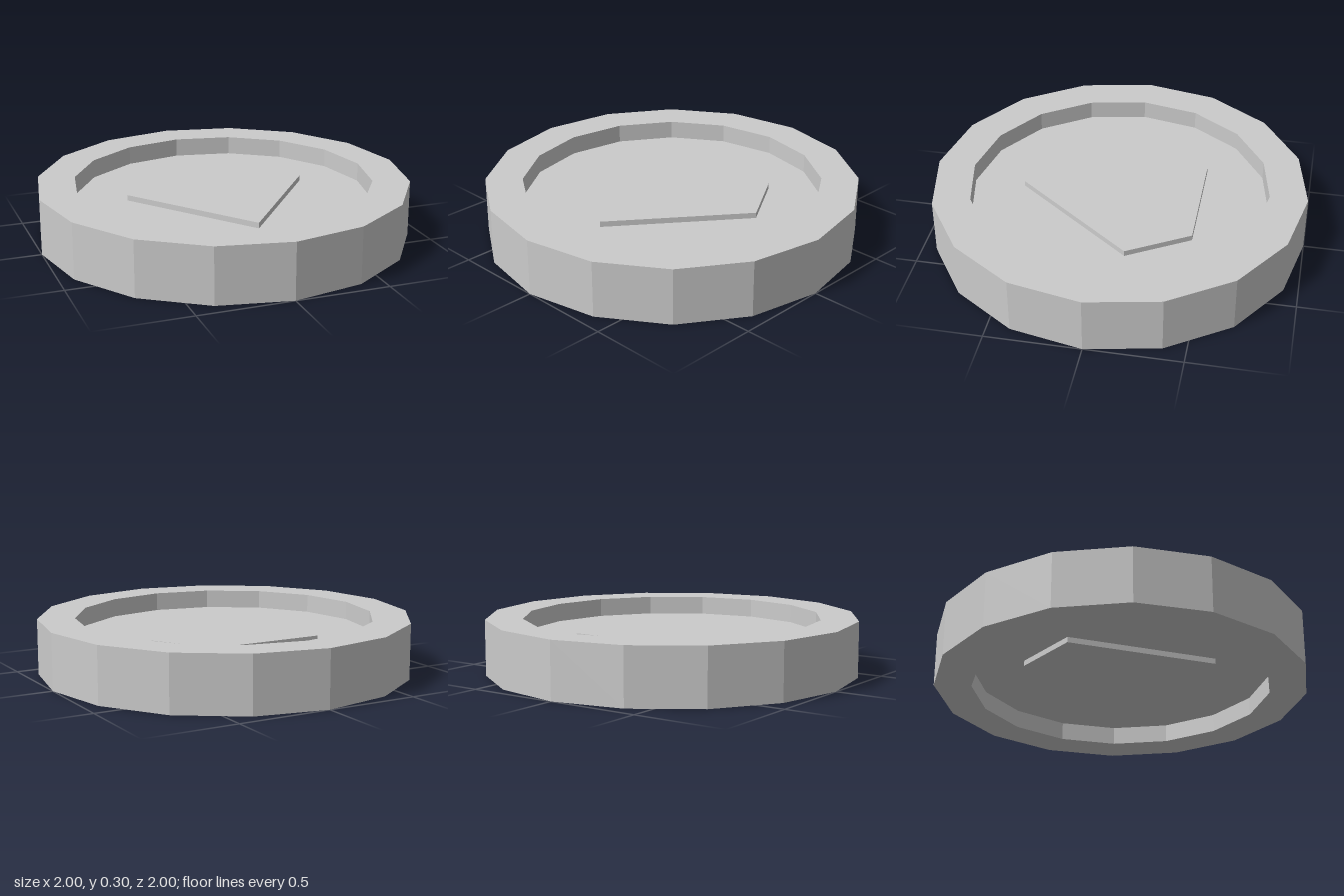
import * as THREE from 'three';

export function createModel() {
  const coin = new THREE.Group();
  coin.name = 'coin';
  const material = new THREE.MeshStandardMaterial({ color: 0xcccccc, flatShading: true });

  const add = (name, geometry) => {
    const mesh = new THREE.Mesh(geometry, material);
    mesh.name = name;
    coin.add(mesh);
  };

  // Sixteen-sided disc with a raised rim, recessed on both faces
  const profile = [
    [0, 0.1], [0.8, 0.1], [0.8, 0], [1, 0],
    [1, 0.3], [0.8, 0.3], [0.8, 0.2], [0, 0.2],
  ].map(([r, y]) => new THREE.Vector2(r, y));
  add('coinBody', new THREE.LatheGeometry(profile, 16));

  // Gem emblem running through the disc, standing 0.03 proud of each recess floor
  const gem = new THREE.Shape([
    [0, -0.525], [0.5, 0.115], [0.31, 0.435], [-0.31, 0.435], [-0.5, 0.115],
  ].map(([x, y]) => new THREE.Vector2(x, y)));
  const gemGeometry = new THREE.ExtrudeGeometry(gem, { depth: 0.16, bevelEnabled: false });
  gemGeometry.rotateX(-Math.PI / 2).translate(0, 0.07, 0);
  add('gemEmblem', gemGeometry);

  return coin;
}
